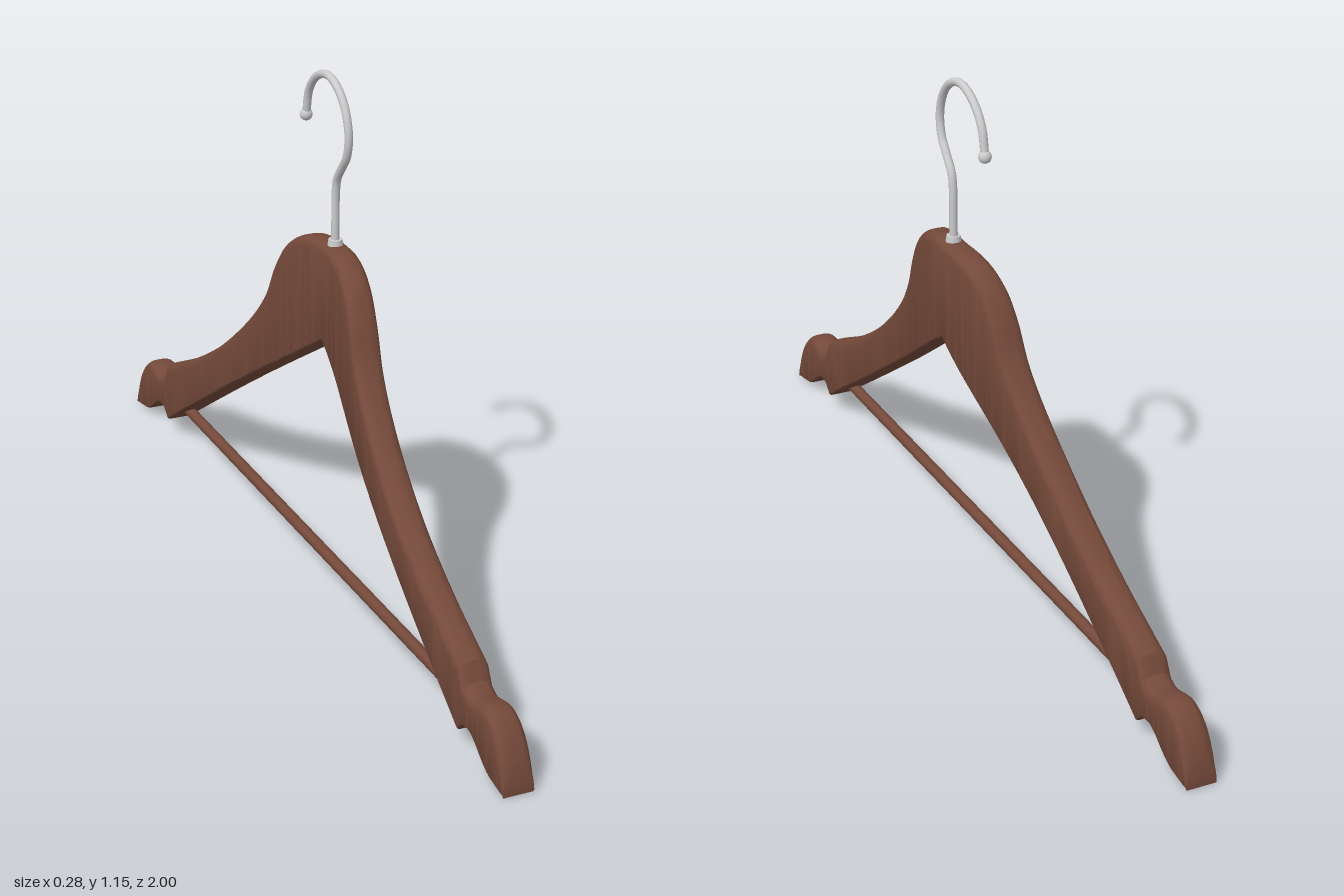
import * as THREE from 'three';
import { toCreasedNormals } from 'three/addons/utils/BufferGeometryUtils.js';

const wood = new THREE.MeshStandardMaterial({ color: 0x74493a });
const metal = new THREE.MeshStandardMaterial({ color: 0xcccccc });

// Sideways bend of the body: the middle bulges towards +x
const bend = (s) => 0.065 / (1 + (s / 0.27) ** 2) - 0.004;

// Smoothly sampled [distance from middle, top, bottom] stations
function stations(points, count) {
  return new THREE.CatmullRomCurve3(points.map((p) => new THREE.Vector3(...p))).getPoints(count);
}

// Rounded-rectangle section, counter-clockwise seen from +z
function section(cx, halfWidth, top, bottom) {
  const limit = (top - bottom) * 0.45;
  const ring = [];
  const corners = [[1, 1, 0.024], [-1, 1, 0.024], [-1, -1, 0.009], [1, -1, 0.009]];
  corners.forEach(([sx, sy, radius], k) => {
    const r = Math.min(radius, limit);
    const x = cx + sx * (halfWidth - r);
    const y = sy > 0 ? top - r : bottom + r;
    for (let i = 0; i <= 5; i++) {
      const a = (k + i / 5) * Math.PI / 2;
      ring.push([x + r * Math.cos(a), y + r * Math.sin(a)]);
    }
  });
  return ring;
}

// Skin of sections running from one shoulder tip to the other
function bodyGeometry() {
  const innerLine = (s) => 0.555 - 0.65 * s;
  const arm = stations([
    [0, 0.775], [0.06, 0.773], [0.11, 0.76], [0.16, 0.727], [0.2, 0.67], [0.235, 0.597],
    [0.3, 0.515], [0.46, 0.377], [0.62, 0.275], [0.795, 0.188],
  ].map(([s, top]) => [s, top, innerLine(s)]), 48);
  arm.forEach((p) => { p.z = innerLine(p.x); });
  const tip = stations([
    [0.815, 0.15, 0.058], [0.845, 0.138, 0.062], [0.87, 0.142, 0.052], [0.9, 0.148, 0.03],
    [0.93, 0.141, 0.012], [0.96, 0.115, 0.005], [0.985, 0.07, 0.001], [0.997, 0.03, 0], [1, 0.008, 0],
  ], 32);
  const half = [...arm, ...tip];
  const full = [
    ...half.slice(1).reverse().map((p) => [-1, p]),
    ...half.map((p) => [1, p]),
  ];

  const positions = [];
  const index = [];
  let n = 0;
  full.forEach(([side, p]) => {
    const ring = section(bend(p.x), 0.0325 + 0.002 * p.x, p.y, p.z);
    n = ring.length;
    ring.forEach(([x, y]) => positions.push(x, y, side * p.x));
  });
  for (let i = 0; i < full.length - 1; i++) {
    for (let j = 0; j < n; j++) {
      const a = i * n + j;
      const b = i * n + (j + 1) % n;
      index.push(a, b, b + n, a, b + n, a + n);
    }
  }
  const last = (full.length - 1) * n;
  for (let j = 1; j < n - 1; j++) {
    index.push(0, j + 1, j, last, last + j, last + j + 1);
  }
  const geometry = new THREE.BufferGeometry();
  geometry.setAttribute('position', new THREE.Float32BufferAttribute(positions, 3));
  geometry.setIndex(index);
  return toCreasedNormals(geometry, 0.6);
}

export function createModel() {
  const model = new THREE.Group();
  model.name = 'coatHanger';
  const add = (name, geometry, material, x = 0, y = 0, z = 0) => {
    const mesh = new THREE.Mesh(geometry, material);
    mesh.name = name;
    mesh.position.set(x, y, z);
    model.add(mesh);
    return mesh;
  };

  add('woodenBody', bodyGeometry(), wood);

  // Trouser bar between the arms
  add('trouserBar', new THREE.CylinderGeometry(0.013, 0.013, 1.52, 20), wood, 0, 0.088, 0)
    .rotation.x = Math.PI / 2;

  // Wire hook with collar and ball end
  const hookX = 0.061;
  const path = new THREE.CatmullRomCurve3([
    [0.74, 0.004], [0.82, 0.004], [0.89, 0.005], [0.925, 0.012], [0.96, 0.038], [0.99, 0.06],
    [1.035, 0.069], [1.085, 0.054], [1.123, 0.018], [1.14, -0.035], [1.122, -0.093],
    [1.08, -0.134], [1.02, -0.15],
  ].map(([y, z]) => new THREE.Vector3(hookX, y, z)));
  add('hook', new THREE.TubeGeometry(path, 90, 0.009, 12), metal);
  add('hookBall', new THREE.SphereGeometry(0.014, 20, 14), metal, hookX, 1.02, -0.15);
  add('hookCollar', new THREE.CylinderGeometry(0.015, 0.018, 0.02, 24), metal, hookX, 0.777, 0.004);

  // The whole hanger is turned slightly
  model.rotation.y = -0.107;
  const root = new THREE.Group();
  root.add(model);
  return root;
}
